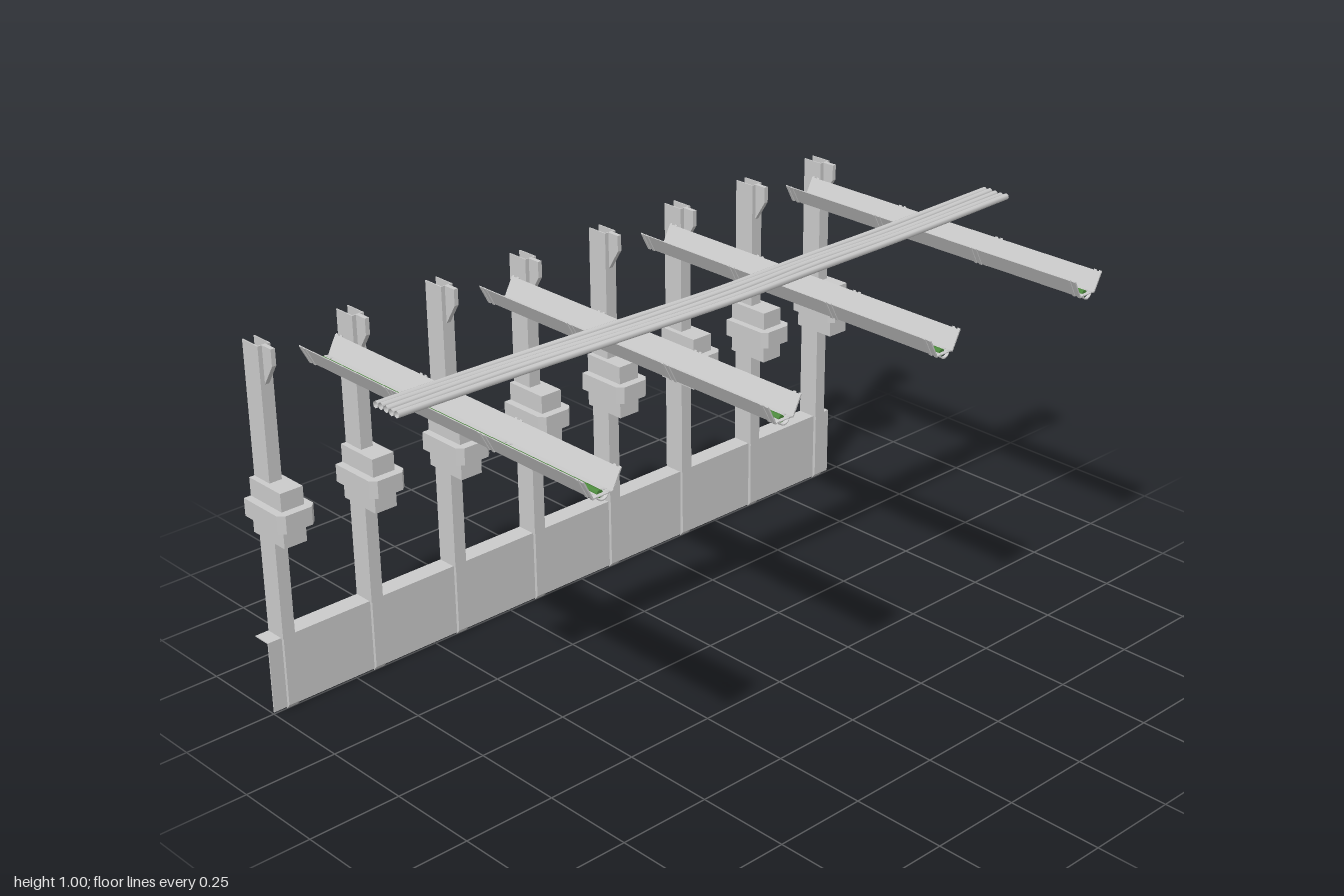
import * as THREE from 'three';

const grey = new THREE.MeshStandardMaterial({ color: 0xcccccc, side: THREE.DoubleSide });
const green = new THREE.MeshStandardMaterial({ color: 0x4c8a3c });

function add(parent, name, geometry, material = grey) {
  const mesh = new THREE.Mesh(geometry, material);
  mesh.name = name;
  parent.add(mesh);
  return mesh;
}

function box(x0, x1, y0, y1, z0, z1) {
  return new THREE.BoxGeometry(x1 - x0, y1 - y0, z1 - z0)
    .translate((x0 + x1) / 2, (y0 + y1) / 2, (z0 + z1) / 2);
}

function extrude(points, depth) {
  const shape = new THREE.Shape(points.map(([x, y]) => new THREE.Vector2(x, y)));
  return new THREE.ExtrudeGeometry(shape, { depth, bevelEnabled: false });
}

// side profile (x, y) with thickness along z
const plate = (points, z0, z1) => extrude(points, z1 - z0).translate(0, 0, z0);
// plan profile (x, z) rising from y0 to y1
const slab = (points, y0, y1) => extrude(points, y1 - y0).rotateX(-Math.PI / 2).translate(0, y0, 0);
// cross-section (z, y) running from x0 to x1
const rail = (points, x0, x1) => extrude(points, x1 - x0).rotateY(Math.PI / 2).translate(x0, 0, 0);

const BACK = -0.55, FACE = -0.488, HALF = 0.016;

// half outline of a plan shape, mirrored and closed around the post slot
function collar(half) {
  const mirrored = half.map(([x, z]) => [x, -z]).reverse();
  return [[FACE, HALF], [BACK, HALF], ...half, ...mirrored, [BACK, -HALF], [FACE, -HALF]];
}

function makePost() {
  const post = new THREE.Group();
  post.name = 'post';
  // open channel: two cheeks and a front web
  for (const s of [-1, 1]) {
    add(post, 'postCheek', box(BACK, FACE, 0.2, 0.968, s * HALF - 0.0015, s * HALF + 0.0015));
  }
  add(post, 'postFront', box(FACE - 0.003, FACE, 0.2, 0.968, -HALF, HALF));
  // foot strip with a slanted end
  add(post, 'postFoot', plate([[-0.5, 0], [FACE, 0.014], [FACE, 0.2], [-0.5, 0.2]], -HALF, HALF));
  // bracket at the head
  add(post, 'headGusset',
    plate([[FACE, 0.87], [-0.453, 0.925], [-0.453, 0.968], [FACE, 0.968]], -0.006, 0.006));
  // collar with a wider chamfered band
  add(post, 'collar', slab(collar([[BACK, 0.032], [-0.425, 0.032]]), 0.475, 0.62));
  add(post, 'collarBand',
    slab(collar([[BACK, 0.052], [-0.417, 0.052], [-0.402, 0.037]]), 0.525, 0.572));
  return post;
}

// thin folded section: outer points left to right, closed by a raised copy
function folded(points, t) {
  return [...points, ...points.map(([z, y]) => [z * (1 - t * 8), y + t]).reverse()];
}

function makeLamp() {
  const lamp = new THREE.Group();
  lamp.name = 'lamp';
  const x0 = -0.44, x1 = 0.545;
  // open trough
  add(lamp, 'trough', rail(folded(
    [[-0.05, 0.959], [-0.026, 0.914], [0.026, 0.914], [0.05, 0.959]], 0.002), x0, x1));
  // light tube under the trough floor
  const tube = new THREE.CylinderGeometry(0.009, 0.009, x1 - x0 - 0.02, 12).rotateZ(Math.PI / 2);
  add(lamp, 'lightTube', tube, green).position.set((x0 + x1) / 2, 0.9145, 0);
  // paired clips wrapping trough and tube
  const arc = [];
  for (let i = 0; i <= 8; i++) {
    const a = Math.PI * (1 + i / 8);
    arc.push([0.015 * Math.cos(a), 0.9145 + 0.0125 * Math.sin(a)]);
  }
  const section = folded(
    [[-0.053, 0.96], [-0.028, 0.9125], ...arc, [0.028, 0.9125], [0.053, 0.96]], 0.003);
  for (const x of [-0.428, -0.112, 0.218, 0.533]) {
    for (const s of [-1, 1]) {
      add(lamp, 'lampClip', rail(section, x + s * 0.008 - 0.004, x + s * 0.008 + 0.004));
    }
  }
  return lamp;
}

export function createModel() {
  const model = new THREE.Group();
  model.name = 'postsAndLamps';

  // low wall with a ledge along its top
  add(model, 'wallPanel', box(-0.5, -0.497, 0.006, 0.2, -0.955, 1));
  add(model, 'wallLedge', box(BACK, -0.5, 0.197, 0.2, -0.955, 1));
  // openings in the ledge are covered by the posts
  for (let i = 0; i < 8; i++) {
    const post = makePost();
    post.position.z = 0.945 - i * 0.265;
    model.add(post);
  }

  for (let i = 0; i < 4; i++) {
    const lamp = makeLamp();
    lamp.position.z = 0.83 - i * 0.53;
    model.add(lamp);
  }

  // wandering bundle of cables lying across the lamps
  const path = [[0.045, 0.991, -1], [0.046, 0.983, -0.6], [0.05, 0.986, -0.3], [0.062, 0.988, 0],
    [0.054, 0.988, 0.3], [0.028, 0.984, 0.65], [0.032, 0.99, 0.99]];
  for (let c = 0; c < 5; c++) {
    const curve = new THREE.CatmullRomCurve3(path.map(([x, y, z], i) =>
      new THREE.Vector3(x + (c - 2) * 0.0185, y + 0.0015 * Math.sin(i * 2 + c * 1.7), z)));
    add(model, 'cable', new THREE.TubeGeometry(curve, 40, 0.0085, 8));
  }
  return model;
}
